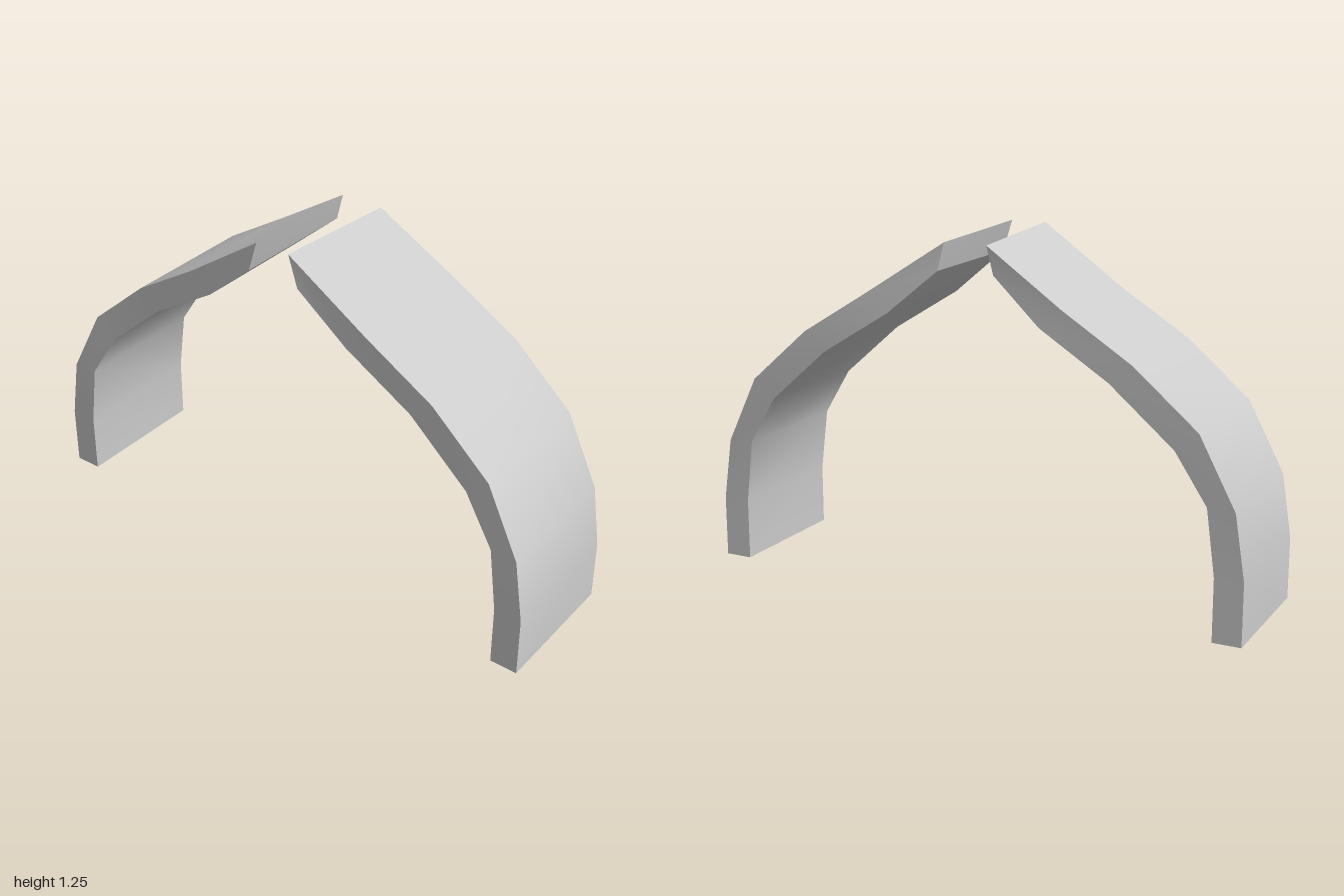
import * as THREE from 'three';
import { toCreasedNormals } from 'three/addons/utils/BufferGeometryUtils.js';

// Cross-sections from foot to tip: outer x, y, inner x, y, front z, back z
const SECTIONS = [
  [1.0, 0.0, 0.9, 0.0, 0.26, -0.24],
  [1.0, 0.22, 0.9, 0.22, 0.26, -0.24],
  [0.965, 0.445, 0.87, 0.45, 0.258, -0.242],
  [0.84, 0.69, 0.76, 0.625, 0.248, -0.252],
  [0.615, 0.885, 0.535, 0.82, 0.241, -0.259],
  [0.365, 1.04, 0.285, 0.975, 0.247, -0.252],
  [0.065, 1.247, 0.1, 1.135, 0.26, -0.222],
];

// Sweeps the four-cornered section; side is 1 for left (+x), -1 for right
function bandGeometry(side) {
  const positions = [];
  const index = [];
  const last = SECTIONS.length - 1;
  SECTIONS.forEach(([ox, oy, ix, iy, zf, zb], i) => {
    // the tip is cut slightly askew, so its rear edge sits lower
    const dx = i === last ? 0.014 : 0;
    const dy = i === last ? -0.021 : 0;
    positions.push(
      side * ox, oy, zf,
      side * (ox + dx), oy + dy, zb,
      side * (ix + dx * 0.3), iy + dy * 0.3, zb,
      side * ix, iy, zf,
    );
  });
  const quad = (a, b, c, d) => {
    if (side > 0) index.push(a, b, c, a, c, d);
    else index.push(a, c, b, a, d, c);
  };
  for (let i = 0; i < last; i++) {
    for (let k = 0; k < 4; k++) {
      const n = (k + 1) % 4;
      quad(i * 4 + k, i * 4 + n, i * 4 + 4 + n, i * 4 + 4 + k);
    }
  }
  quad(3, 2, 1, 0); // foot
  quad(last * 4, last * 4 + 1, last * 4 + 2, last * 4 + 3); // tip
  const geometry = new THREE.BufferGeometry();
  geometry.setAttribute('position', new THREE.Float32BufferAttribute(positions, 3));
  geometry.setIndex(index);
  return toCreasedNormals(geometry, 0.5);
}

export function createModel() {
  const group = new THREE.Group();
  group.name = 'splitArch';
  const material = new THREE.MeshStandardMaterial({ color: 0xcccccc });
  for (const [name, side] of [['leftCurvedBand', 1], ['rightCurvedBand', -1]]) {
    const mesh = new THREE.Mesh(bandGeometry(side), material);
    mesh.name = name;
    group.add(mesh);
  }
  return group;
}
